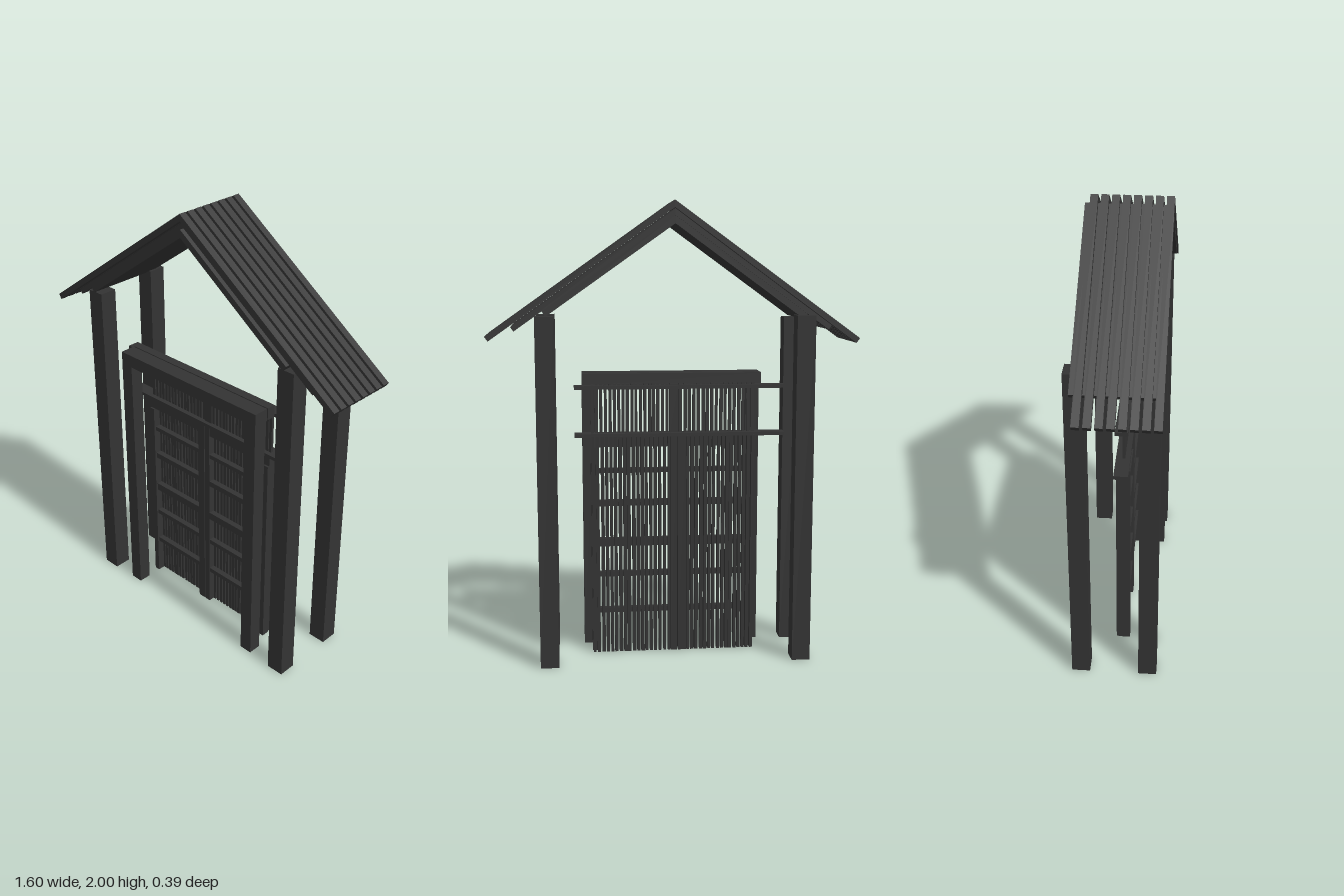
import * as THREE from 'three';

export function createModel() {
  const root = new THREE.Group();
  root.name = 'roofedGate';
  const wood = new THREE.MeshStandardMaterial({ color: 0x333333, flatShading: true });

  // small repeatable wobble for the hand-cut slats
  let seed = 7;
  const wobble = (a) => {
    seed = (seed * 16807) % 2147483647;
    return (seed / 2147483647 - 0.5) * 2 * a;
  };

  const group = (name) => {
    const g = new THREE.Group();
    g.name = name;
    root.add(g);
    return g;
  };
  const beam = (parent, name, x0, x1, y0, y1, z0, z1) => {
    const m = new THREE.Mesh(new THREE.BoxGeometry(x1 - x0, y1 - y0, z1 - z0), wood);
    m.position.set((x0 + x1) / 2, (y0 + y1) / 2, (z0 + z1) / 2);
    m.name = name;
    parent.add(m);
  };

  // four tall roof posts
  const posts = group('roofPosts');
  for (const [x, side] of [[-0.555, 'right'], [0.55, 'left']]) {
    const top = side === 'left' ? 1.515 : 1.5;
    beam(posts, side + 'FrontPost', x - 0.04, x + 0.04, 0, top, 0.098, 0.178);
    beam(posts, side + 'BackPost', x - 0.04, x + 0.04, 0, 1.52, -0.196, -0.116);
  }

  // roof: mitred chevron boards in three layers
  const roof = group('roof');
  const SL = 0.725, SR = 0.705; // slopes of the two pitches
  const chevron = (name, top, thick, xl, xr, z0, z1) => {
    const cut = thick * 0.47; // square-cut eave ends
    const bot = top - thick;
    const s = new THREE.Shape();
    s.moveTo(0, top);
    s.lineTo(-xl, top - xl * SL);
    s.lineTo(-xl + cut, bot - (xl - cut) * SL);
    s.lineTo(0, bot);
    s.lineTo(xr - cut, bot - (xr - cut) * SR);
    s.lineTo(xr, top - xr * SR);
    s.closePath();
    const geo = new THREE.ExtrudeGeometry(s, { depth: z1 - z0, bevelEnabled: false });
    geo.translate(0, 0, z0);
    const m = new THREE.Mesh(geo, wood);
    m.name = name;
    roof.add(m);
  };
  const pitch = 0.0432;
  for (let i = 0; i < 8; i++) {
    const z = 0.176 - i * pitch;
    chevron('upperRoofBoard', 2.0, 0.031, 0.8, 0.8, z - 0.0155, z + 0.0155);
    chevron('lowerRoofBoard', 1.963, 0.028, 0.67, 0.69, z - pitch / 2 - 0.0165, z - pitch / 2 + 0.0165);
  }
  chevron('roofLining', 1.936, 0.034, 0.565, 0.56, -0.16, 0.19);

  // gate frame in front of the doors
  const frame = group('gateFrame');
  beam(frame, 'rightGatePost', -0.405, -0.345, 0, 1.2, 0.11, 0.17);
  beam(frame, 'leftGatePost', 0.335, 0.395, 0, 1.2, 0.11, 0.17);
  beam(frame, 'frontLintel', -0.405, 0.395, 1.2, 1.257, 0.1, 0.17);
  beam(frame, 'backLintel', -0.405, 0.395, 1.202, 1.257, 0.055, 0.095);

  // long thin rails running past the frame
  beam(frame, 'upperRail', -0.5, 0.43, 1.193, 1.209, -0.008, 0.045);
  beam(frame, 'lowerRail', -0.5, 0.43, 0.982, 0.998, -0.015, 0.045);

  // vertical slats from x0 to x1
  const slats = (parent, name, x0, x1, y0, y1, z0, z1) => {
    const n = Math.round((x1 - x0) / 0.0195);
    const step = (x1 - x0) / n;
    for (let i = 0; i < n; i++) {
      const x = x0 + (i + 0.5) * step + wobble(0.002);
      const w = 0.0068 + wobble(0.001);
      beam(parent, name, x - w, x + w, y0, y1, z0, z1);
    }
  };

  // transom lattice over the doors
  const transom = group('transom');
  slats(transom, 'transomSlat', -0.37, -0.03, 0.99, 1.215, 0.012, 0.024);
  slats(transom, 'transomSlat', 0.012, 0.36, 0.99, 1.215, 0.012, 0.024);
  beam(transom, 'transomMullion', -0.029, 0.01, 0.99, 1.215, 0.008, 0.028);

  // two lattice doors with cross rails
  const rails = [[0.935, 0.99], [0.818, 0.838], [0.668, 0.694], [0.484, 0.52], [0.344, 0.366], [0.176, 0.198]];
  for (const [name, x0, x1, inner] of [['rightDoor', -0.37, -0.026, -1], ['leftDoor', -0.022, 0.36, 1]]) {
    const door = group(name);
    const s0 = inner < 0 ? x0 : x0 + 0.028;
    const s1 = inner < 0 ? x1 - 0.036 : x1;
    slats(door, 'doorSlat', s0, s1, 0, 0.985, -0.016, 0.01);
    for (const [y0, y1] of rails) beam(door, 'crossRail', x0, x1, y0, y1, 0.01, 0.036);
    // meeting stile and hinge stile
    if (inner < 0) beam(door, 'meetingStile', s1, x1, 0, 0.985, -0.018, 0.038);
    else beam(door, 'meetingStile', x0, s0, 0, 0.985, -0.018, 0.038);
    const h = inner < 0 ? x0 : x1 - 0.025;
    beam(door, 'hingeStile', h, h + 0.025, 0, 0.935, 0.01, 0.045);
  }

  return root;
}
